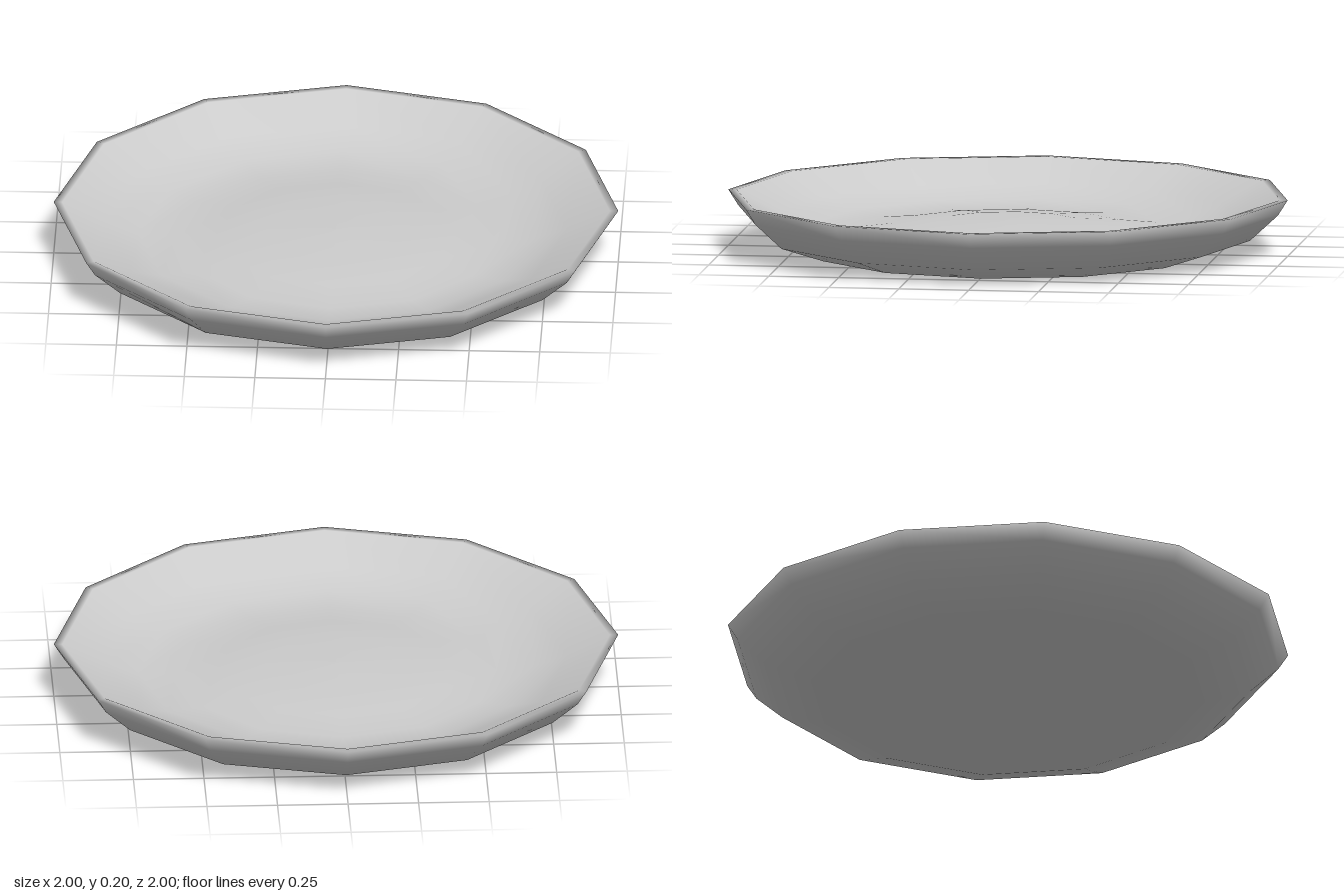
import * as THREE from 'three';

export function createModel() {
  const group = new THREE.Group();
  const material = new THREE.MeshStandardMaterial({ color: 0xcccccc });

  // Closed cross-section: recessed underside, outer wall, rim, then the domed dish
  const profile = [
    [0, 0.035], [0.4, 0.02], [0.705, 0], [0.865, 0.053], [0.965, 0.145], [1, 0.2],
    [0.97, 0.2], [0.82, 0.125], [0.7, 0.085], [0.57, 0.072], [0.42, 0.09], [0.25, 0.105], [0, 0.11],
  ].map(([r, y]) => new THREE.Vector2(r, y));

  // Twelve-sided shallow plate with smooth normals
  const plate = new THREE.Mesh(new THREE.LatheGeometry(profile, 12), material);
  plate.name = 'plate';
  group.add(plate);
  return group;
}
